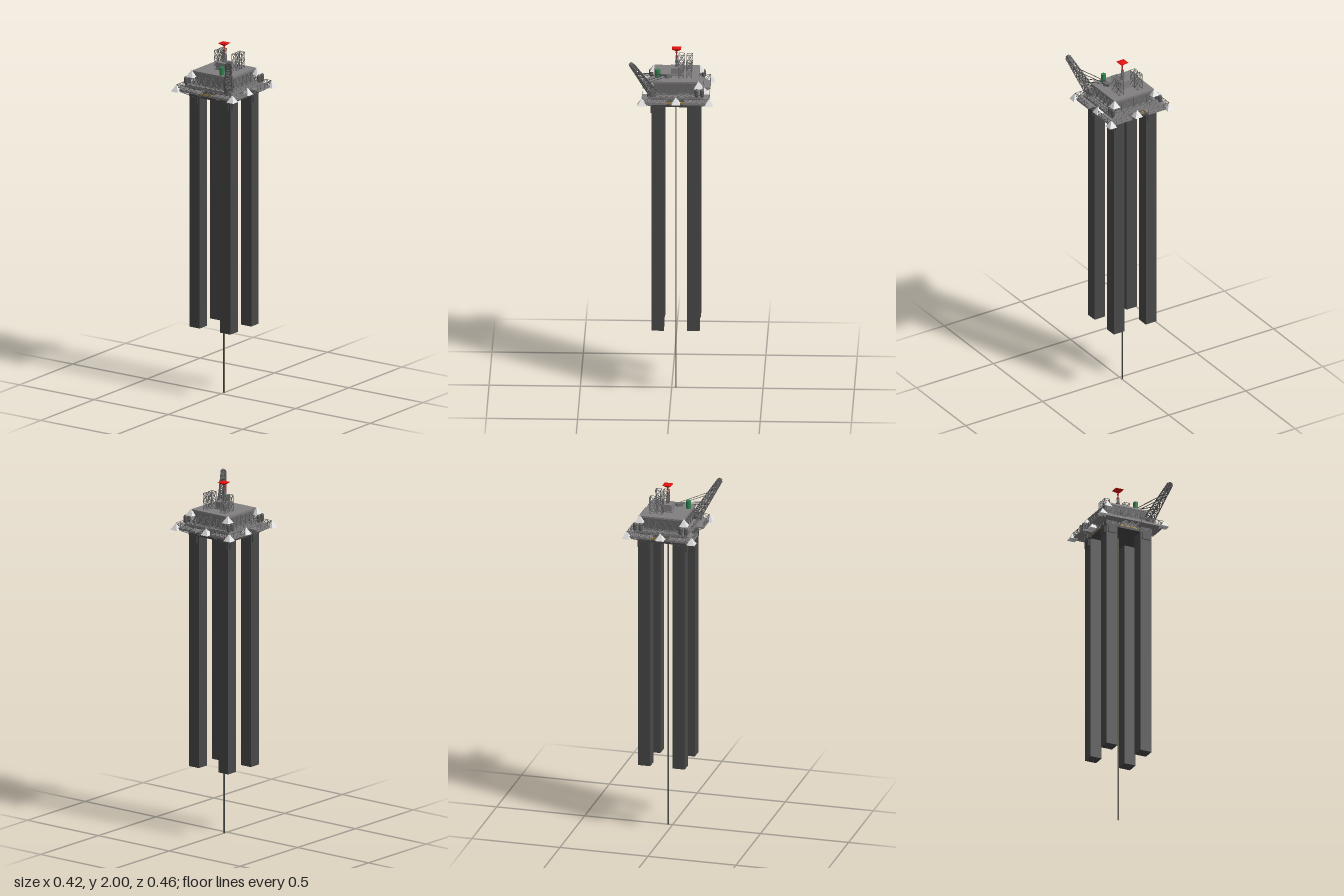
import * as THREE from 'three';
import { mergeGeometries } from 'three/addons/utils/BufferGeometryUtils.js';

const mat = (name, color) => {
  const m = new THREE.MeshStandardMaterial({ color });
  m.name = name;
  return m;
};

const ZC = -0.025; // centre line of the platform in z

export function createModel() {
  const legGrey = mat('leg dark grey', 0x484848);
  const deckGrey = mat('deck grey', 0x827f81);
  const steel = mat('steel grey', 0x6c6c6c);
  const tankGrey = mat('tank grey', 0x5a5a5a);
  const white = mat('white', 0xe2e2e2);
  const yellow = mat('ochre', 0xb88a30);
  const olive = mat('olive pipe', 0x807a5c);
  const green = mat('green', 0x2e8450);
  const red = mat('red', 0xe01010);

  const root = new THREE.Group();
  root.name = 'offshorePlatform';
  const add = (name, geo, material, x = 0, y = 0, z = 0) => {
    const m = new THREE.Mesh(geo, material);
    m.name = name;
    m.position.set(x, y, z);
    root.add(m);
    return m;
  };
  // box given by its limits
  const block = (name, material, x0, x1, y0, y1, z0, z1) =>
    add(name, new THREE.BoxGeometry(x1 - x0, y1 - y0, z1 - z0), material,
      (x0 + x1) / 2, (y0 + y1) / 2, (z0 + z1) / 2);
  // four-sided frustum with flat faces, unit footprint scaled to w x d
  const frustum = (top, bottom, h, w, d) => {
    let g = new THREE.CylinderGeometry(top * Math.SQRT1_2, bottom * Math.SQRT1_2, h, 4);
    g.rotateY(Math.PI / 4);
    g.scale(w, 1, d);
    g = g.toNonIndexed();
    g.computeVertexNormals();
    return g;
  };
  // square bar between two points
  const bar = (a, b, t = 0.0025) => {
    const A = new THREE.Vector3(...a), B = new THREE.Vector3(...b);
    const dir = B.clone().sub(A), len = dir.length();
    const g = new THREE.BoxGeometry(t, len, t);
    g.applyQuaternion(new THREE.Quaternion().setFromUnitVectors(new THREE.Vector3(0, 1, 0), dir.normalize()));
    const c = A.add(B).multiplyScalar(0.5);
    return g.translate(c.x, c.y, c.z);
  };
  // cross-braced truss panel run between two floor points
  const truss = (x0, z0, x1, z1, y0, y1, n, t) => {
    const out = [], p = (i, y) => [x0 + (x1 - x0) * i / n, y, z0 + (z1 - z0) * i / n];
    for (let i = 0; i <= n; i++) {
      out.push(bar(p(i, y0), p(i, y1), t));
      if (i < n) out.push(bar(p(i, y0), p(i + 1, y1), t), bar(p(i, y1), p(i + 1, y0), t));
    }
    out.push(bar(p(0, y0), p(n, y0), t), bar(p(0, y1), p(n, y1), t));
    return out;
  };
  // trusses round a rectangle centred on the platform
  const trussRing = (hx, hz, y0, y1, n, t, zc = ZC, xc = 0) => [
    ...truss(xc - hx, zc - hz, xc + hx, zc - hz, y0, y1, n, t),
    ...truss(xc - hx, zc + hz, xc + hx, zc + hz, y0, y1, n, t),
    ...truss(xc - hx, zc - hz, xc - hx, zc + hz, y0, y1, n, t),
    ...truss(xc + hx, zc - hz, xc + hx, zc + hz, y0, y1, n, t)];

  // legs, with a guide box on each outer face
  for (const sx of [-1, 1]) for (const sz of [-1, 1]) {
    const x = sx * 0.1035, z = ZC + sz * 0.098;
    block('leg', legGrey, x - 0.0345, x + 0.0345, 0.385, 1.75, z - 0.0345, z + 0.0345);
    add('legGuide', new THREE.BoxGeometry(0.048, 0.04, 0.008), legGrey, x, 1.68, z + sz * 0.0365);
    add('legGuide', new THREE.BoxGeometry(0.008, 0.04, 0.048), legGrey, x + sx * 0.0365, 1.68, z);
  }

  // drill string
  const pipe = new THREE.CylinderGeometry(0.002, 0.002, 1.72, 8);
  add('drillPipe', pipe, legGrey, 0, 0.86, ZC + 0.002);
  for (const s of [-1, 1]) add('riserPipe', pipe, s > 0 ? olive : legGrey, s * 0.003, 0.86, ZC);

  // hull decks, core and service pipes
  block('lowerDeck', legGrey, -0.14, 0.14, 1.7, 1.712, ZC - 0.135, ZC + 0.135);
  block('hullCore', tankGrey, -0.115, 0.115, 1.71, 1.755, ZC - 0.11, ZC + 0.11);
  block('mainDeck', deckGrey, -0.156, 0.156, 1.752, 1.765, ZC - 0.1515, ZC + 0.1495);
  add('hullTruss', mergeGeometries(trussRing(0.138, 0.133, 1.71, 1.754, 7, 0.004)), steel);
  for (const s of [-1, 1]) {
    block('servicePipe', yellow, -0.132, 0.132, 1.715, 1.725, ZC + s * 0.125 - 0.005, ZC + s * 0.125 + 0.005);
    block('servicePipe', yellow, s * 0.13 - 0.005, s * 0.13 + 0.005, 1.715, 1.725, ZC - 0.12, ZC + 0.12);
  }

  // corner platforms with railings, and their pyramid covers
  for (const sx of [-1, 1]) for (const sz of [-1, 1]) {
    const x0 = sx > 0 ? 0.052 : -0.19, z0 = sz > 0 ? ZC + 0.049 : ZC - 0.1855;
    block('cornerPlatform', deckGrey, x0, x0 + 0.138, 1.732, 1.742, z0, z0 + 0.1365);
    const X = sx * 0.188, Z = ZC + sz * 0.183;
    add('platformRailing', mergeGeometries([
      ...truss(sx * 0.054, Z, X, Z, 1.742, 1.768, 4, 0.002),
      ...truss(X, ZC + sz * 0.051, X, Z, 1.742, 1.768, 4, 0.002)]), steel);
    add('platformBraces', mergeGeometries([
      bar([X, 1.734, Z], [sx * 0.138, 1.706, ZC + sz * 0.133], 0.004),
      bar([sx * 0.06, 1.734, Z], [sx * 0.06, 1.706, ZC + sz * 0.133], 0.003),
      bar([X, 1.734, ZC + sz * 0.06], [sx * 0.138, 1.706, ZC + sz * 0.06], 0.003)]), steel);
    add('cornerCover', frustum(0.08, 1, 0.037, 0.046, 0.046), white, sx * 0.187, 1.7485, ZC + sz * 0.184);

    // tanks and house covers; the crane takes the front left corner
    if (sx > 0 && sz > 0) continue;
    for (const dz of [0.113, 0.143])
      add('tank', new THREE.CapsuleGeometry(0.0115, 0.024, 6, 12), tankGrey, sx * 0.152, 1.7885, ZC + sz * dz + (sz < 0 ? -0.003 : 0));
    add('houseCover', frustum(0.08, 1, 0.037, 0.046, 0.046), white, sx * 0.128, 1.828, ZC + sz * 0.125);
  }

  // pyramid covers half tucked under the main deck
  for (const [x, z] of [[-0.155, ZC - 0.002], [0.155, ZC - 0.002], [0, -0.177]])
    add('sideCover', frustum(0.08, 1, 0.037, 0.048, 0.048), white, x, 1.7435, z);

  // main deck railing and the flared deck house
  add('deckRailing', mergeGeometries(trussRing(0.154, 0.148, 1.765, 1.787, 9, 0.002)), steel);
  add('deckHouse', frustum(1, 0.84, 0.07, 0.25, 0.244), deckGrey, 0, 1.799, -0.027);
  block('houseRoof', deckGrey, -0.128, 0.128, 1.834, 1.844, -0.152, 0.098);
  add('houseTruss', mergeGeometries(trussRing(0.122, 0.118, 1.767, 1.835, 6, 0.003, -0.027)), steel);

  // open lattice masts on the roof
  for (const sx of [-1, 1]) for (const z of [-0.097, -0.053])
    add('latticeMast', mergeGeometries([
      ...trussRing(0.0155, 0.0155, 1.844, 1.89, 1, 0.002, z, sx * 0.06),
      ...trussRing(0.0155, 0.0155, 1.89, 1.935, 1, 0.002, z, sx * 0.06)]), steel);

  // central tower, beacon mast and red beacon
  block('towerBase', deckGrey, -0.038, 0.038, 1.844, 1.85, -0.063, 0.009);
  block('tower', deckGrey, -0.032, 0.032, 1.85, 1.885, -0.058, 0.004);
  add('beaconMast', mergeGeometries([
    ...trussRing(0.007, 0.007, 1.885, 1.915, 1, 0.002, ZC - 0.002),
    ...trussRing(0.005, 0.005, 1.915, 1.945, 1, 0.002, ZC - 0.002)]), steel);
  add('mastPole', new THREE.CylinderGeometry(0.003, 0.003, 0.1, 8), steel, 0, 1.935, ZC - 0.002);
  for (const y of [1.945, 1.968])
    add('mastBand', new THREE.CylinderGeometry(0.005, 0.005, 0.01, 8), red, 0, y, ZC - 0.002);
  add('beaconBottom', frustum(1, 0.15, 0.017, 0.05, 0.05), red, 0, 1.9845, ZC - 0.002);
  add('beaconTop', frustum(0.01, 1, 0.007, 0.05, 0.05), red, 0, 1.9965, ZC - 0.002);

  // green storage cylinder
  add('greenTank', new THREE.CylinderGeometry(0.014, 0.014, 0.044, 10), green, 0.057, 1.866, 0.075);

  // crane: pedestal, tapered lattice boom, solid tip, winch and cables
  const base = new THREE.Vector3(0.12, 1.775, 0.1), tip = new THREE.Vector3(0.199, 1.972, 0.215);
  const along = tip.clone().sub(base).normalize();
  const side = new THREE.Vector3(0.85, 0, -0.53).normalize();
  const up = new THREE.Vector3().crossVectors(side, along).normalize();
  const at = (t, s, u) => base.clone().lerp(tip, t)
    .addScaledVector(side, s * (0.022 - 0.011 * t)).addScaledVector(up, u * (0.019 - 0.01 * t)).toArray();
  const corners = [[-1, -1], [1, -1], [1, 1], [-1, 1]];
  const boom = [], bays = 8;
  corners.forEach(([s, u], k) => {
    const [s2, u2] = corners[(k + 1) % 4];
    boom.push(bar(at(0, s, u), at(1, s, u), 0.005));
    for (let i = 0; i <= bays; i++) {
      const t = i / bays, n = (i + 1) / bays;
      boom.push(bar(at(t, s, u), at(t, s2, u2), 0.003));
      if (i < bays) boom.push(bar(at(t, s, u), at(n, s2, u2), 0.003), bar(at(t, s2, u2), at(n, s, u), 0.003));
    }
  });
  add('craneBoom', mergeGeometries(boom), tankGrey);
  const head = add('boomTip', frustum(0.6, 1, 0.06, 0.027, 0.022), steel);
  head.position.copy(base).lerp(tip, 0.91);
  head.quaternion.setFromRotationMatrix(new THREE.Matrix4().makeBasis(side, along, up.clone()
    .copy(new THREE.Vector3().crossVectors(side, along).normalize())));
  add('cranePedestal', new THREE.CylinderGeometry(0.022, 0.026, 0.035, 12), tankGrey, 0.125, 1.775, 0.105);
  const winch = add('craneWinch', new THREE.BoxGeometry(0.028, 0.016, 0.034), steel, 0.07, 1.855, 0.018);
  winch.rotation.y = 0.56;
  const cables = [];
  for (const s of [-1, 1]) {
    const foot = [0.072 + s * 0.01, 1.862, 0.022 - s * 0.006];
    cables.push(bar(foot, at(0.72, s, 1), 0.003), bar(foot, at(0.4, s, 1), 0.003));
  }
  add('craneCables', mergeGeometries(cables), legGrey);

  return root;
}
